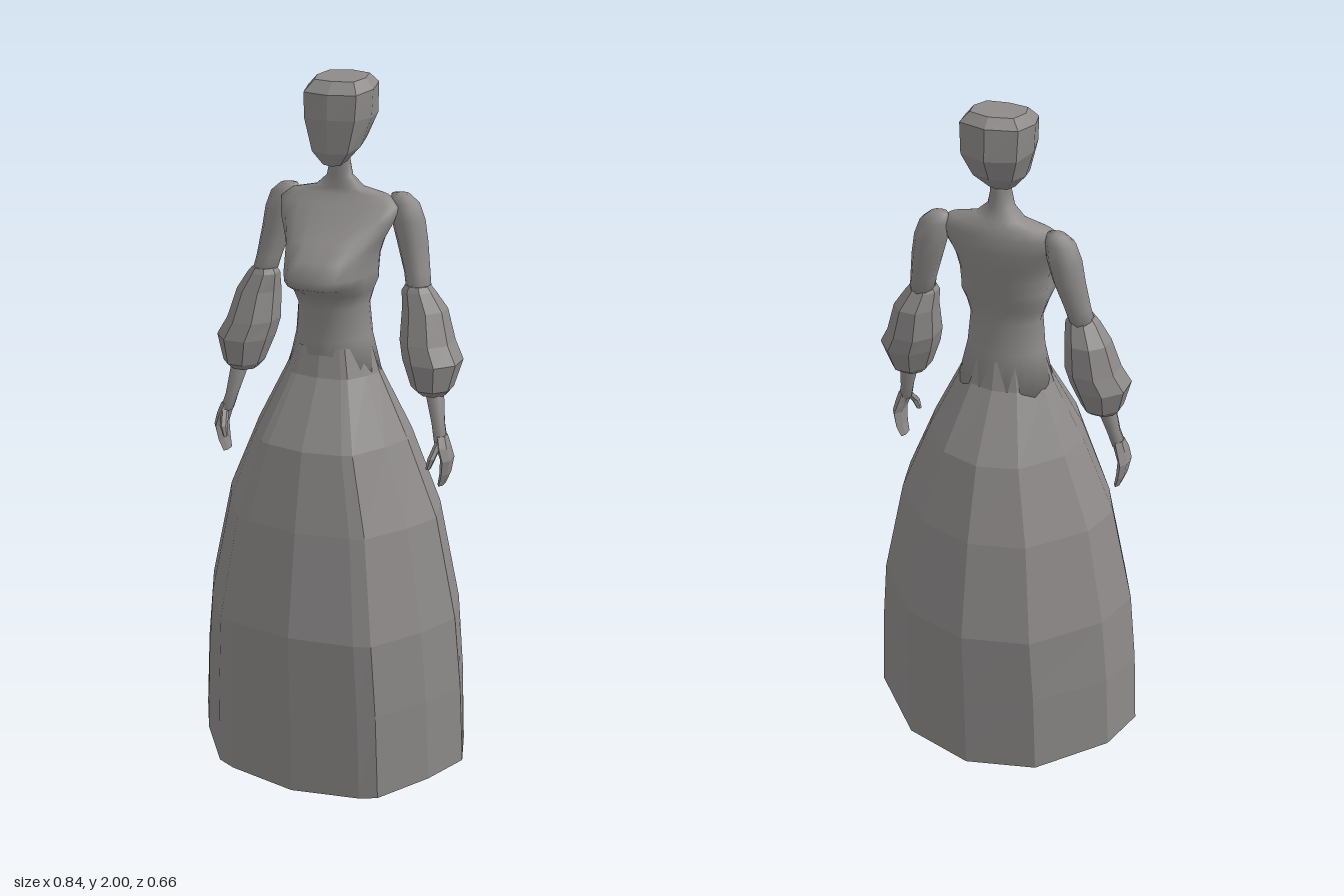
import * as THREE from 'three';

const stone = new THREE.MeshStandardMaterial({ color: 0x8d8a89, side: THREE.DoubleSide });
stone.name = 'warm grey';

// Skins a stack of rings, listed bottom to top; each ring runs from front (+z) towards +x.
function loft(name, rings, { flat = false, bottom = true, top = true } = {}) {
  const n = rings[0].length, pos = rings.flat(2), index = [];
  for (let i = 0; i < rings.length - 1; i++)
    for (let j = 0; j < n; j++) {
      const a = i * n + j, b = i * n + (j + 1) % n;
      index.push(a, b, b + n, a, b + n, a + n);
    }
  const cap = (ring, base, up) => {
    const c = pos.length / 3;
    for (let k = 0; k < 3; k++) pos.push(ring.reduce((s, p) => s + p[k], 0) / n);
    for (let j = 0; j < n; j++) {
      const a = base + j, b = base + (j + 1) % n;
      index.push(c, ...(up ? [a, b] : [b, a]));
    }
  };
  if (bottom) cap(rings[0], 0, false);
  if (top) cap(rings[rings.length - 1], (rings.length - 1) * n, true);
  let geo = new THREE.BufferGeometry();
  geo.setAttribute('position', new THREE.Float32BufferAttribute(pos, 3));
  geo.setIndex(index);
  if (flat) geo = geo.toNonIndexed();
  geo.computeVertexNormals();
  const mesh = new THREE.Mesh(geo, stone);
  mesh.name = name;
  return mesh;
}

// Elliptical section: centre x, y, z and half sizes.
const oval = (n, turn = 0) => ([x, y, z, rx, rz]) =>
  Array.from({ length: n }, (_, j) => {
    const t = (j + turn) / n * Math.PI * 2;
    return [x + rx * Math.sin(t), y, z + rz * Math.cos(t)];
  });

// Completes a half outline (front to back on +x) with its mirror image.
const mirrored = half => [...half, ...half.slice(1, -1).reverse().map(([x, z]) => [-x, z])];

// Section with separate front and back depth, from a unit outline.
const section = (outline, [y, rx, front, back]) =>
  outline.map(([x, z]) => [x * rx, y, z > 0 ? z * front : -z * back]);

function skirt() {
  const outline = mirrored([[0, 1], [0.48, 0.92], [0.6, 0.87], [0.85, 0.46], [1, 0.1],
    [0.9, -0.33], [0.49, -0.85], [0, -1]]);
  const rings = [
    [0.02, 0.42, 0.32, -0.31], [0.28, 0.407, 0.325, -0.318], [0.5, 0.385, 0.33, -0.328],
    [0.8, 0.32, 0.28, -0.275], [1.02, 0.228, 0.23, -0.21], [1.2, 0.138, 0.125, -0.1],
    [1.28, 0.112, 0.105, -0.08],
  ].map(r => section(outline, r));
  // The hem rises a little at the sides
  rings[0].forEach(p => { p[1] = 0.04 * Math.pow(Math.abs(p[0]) / 0.42, 2); });
  return loft('skirt', rings, { flat: true, bottom: false, top: false });
}

function torso() {
  // y, half width, front z, back z, squareness, dip between the breasts
  const rows = [
    [1.18, 0.138, 0.12, -0.1, 0, 0], [1.3, 0.109, 0.105, -0.075, 0, 0],
    [1.39, 0.1, 0.108, -0.065, 0.1, 0], [1.43, 0.112, 0.125, -0.068, 0.3, 0],
    [1.46, 0.122, 0.187, -0.075, 0.4, 0.012], [1.485, 0.122, 0.195, -0.08, 0.4, 0.015],
    [1.53, 0.125, 0.175, -0.088, 0.3, 0.02], [1.57, 0.14, 0.115, -0.098, 0.2, 0.01],
    [1.62, 0.165, 0.06, -0.105, 0.2, 0], [1.66, 0.175, 0.02, -0.1, 0.2, 0],
    [1.685, 0.14, 0, -0.09, 0.1, 0], [1.7, 0.07, -0.005, -0.08, 0, 0],
    [1.73, 0.036, -0.005, -0.07, 0, 0], [1.77, 0.028, -0.01, -0.065, 0, 0],
    [1.83, 0.03, -0.01, -0.065, 0, 0],
  ];
  const n = 20;
  const rings = rows.map(([y, rx, front, back, square, dip]) => {
    const mid = Math.min(0, (front + back) / 2 + 0.01) - (front > 0.15 ? 0.01 : 0);
    return Array.from({ length: n }, (_, j) => {
      const t = j / n * Math.PI * 2, c = Math.cos(t), s = Math.sin(t);
      const depth = c > 0 ? Math.pow(c, 1 - square * 0.5) * (front - mid) : -c * (back - mid);
      const cleft = c > 0 ? dip * Math.max(0, 1 - Math.abs(s) * 2.5) : 0;
      return [rx * s, y, mid + depth - cleft];
    });
  });
  return loft('torso', rings);
}

function head() {
  const outline = mirrored([[0, 1], [0.8, 0.84], [1, 0.1], [0.84, -0.72], [0, -1]]);
  // y, centre z, half width, half depth, slope towards the front
  const rings = [
    [1.775, -0.015, 0.03, 0.05, -0.01], [1.815, -0.03, 0.064, 0.082, -0.015],
    [1.89, -0.042, 0.09, 0.1, 0], [1.965, -0.042, 0.094, 0.095, -0.01],
    [1.992, -0.045, 0.07, 0.066, -0.006],
  ].map(([y, zc, rx, rz, slope]) =>
    outline.map(([x, z]) => [x * rx, y + z * slope, zc + z * rz]));
  return loft('head', rings, { flat: true });
}

function arm(side) {
  const g = new THREE.Group();
  g.name = side > 0 ? 'leftArm' : 'rightArm';
  const limb = (name, rows, n, options, turn) => g.add(loft(name,
    rows.map(([x, ...rest]) => oval(n, turn)([side * x, ...rest])), options));

  limb('upperArm', [
    [0.235, 1.42, -0.03, 0.034, 0.036], [0.222, 1.48, -0.045, 0.035, 0.04],
    [0.202, 1.56, -0.058, 0.042, 0.046], [0.188, 1.62, -0.06, 0.046, 0.046],
    [0.177, 1.665, -0.06, 0.04, 0.038], [0.165, 1.688, -0.06, 0.025, 0.022],
  ], 10);
  limb('puffSleeve', [
    [0.288, 1.155, -0.005, 0.04, 0.038], [0.287, 1.175, -0.005, 0.058, 0.065],
    [0.283, 1.25, -0.015, 0.083, 0.088], [0.263, 1.3, -0.025, 0.075, 0.085],
    [0.25, 1.385, -0.035, 0.062, 0.066], [0.232, 1.435, -0.03, 0.046, 0.044],
    [0.23, 1.45, -0.03, 0.035, 0.036],
  ], 8, { flat: true }, 0.5);
  limb('forearm', [
    [0.328, 1.03, 0.03, 0.018, 0.026], [0.315, 1.08, 0.018, 0.019, 0.023],
    [0.295, 1.17, 0, 0.028, 0.03],
  ], 8);
  limb('hand', [
    [0.332, 0.905, 0.025, 0.009, 0.026], [0.342, 0.94, 0.025, 0.013, 0.035],
    [0.347, 0.985, 0.028, 0.016, 0.04], [0.336, 1.02, 0.03, 0.018, 0.036],
    [0.326, 1.05, 0.026, 0.018, 0.025],
  ], 6, { flat: true });
  limb('thumb', [
    [0.31, 0.965, 0.078, 0.007, 0.009], [0.318, 0.995, 0.073, 0.011, 0.014],
    [0.328, 1.035, 0.042, 0.011, 0.016],
  ], 6, { flat: true });
  return g;
}

export function createModel() {
  const model = new THREE.Group();
  model.name = 'ladyInGown';
  model.add(skirt(), torso(), head(), arm(1), arm(-1));
  return model;
}
